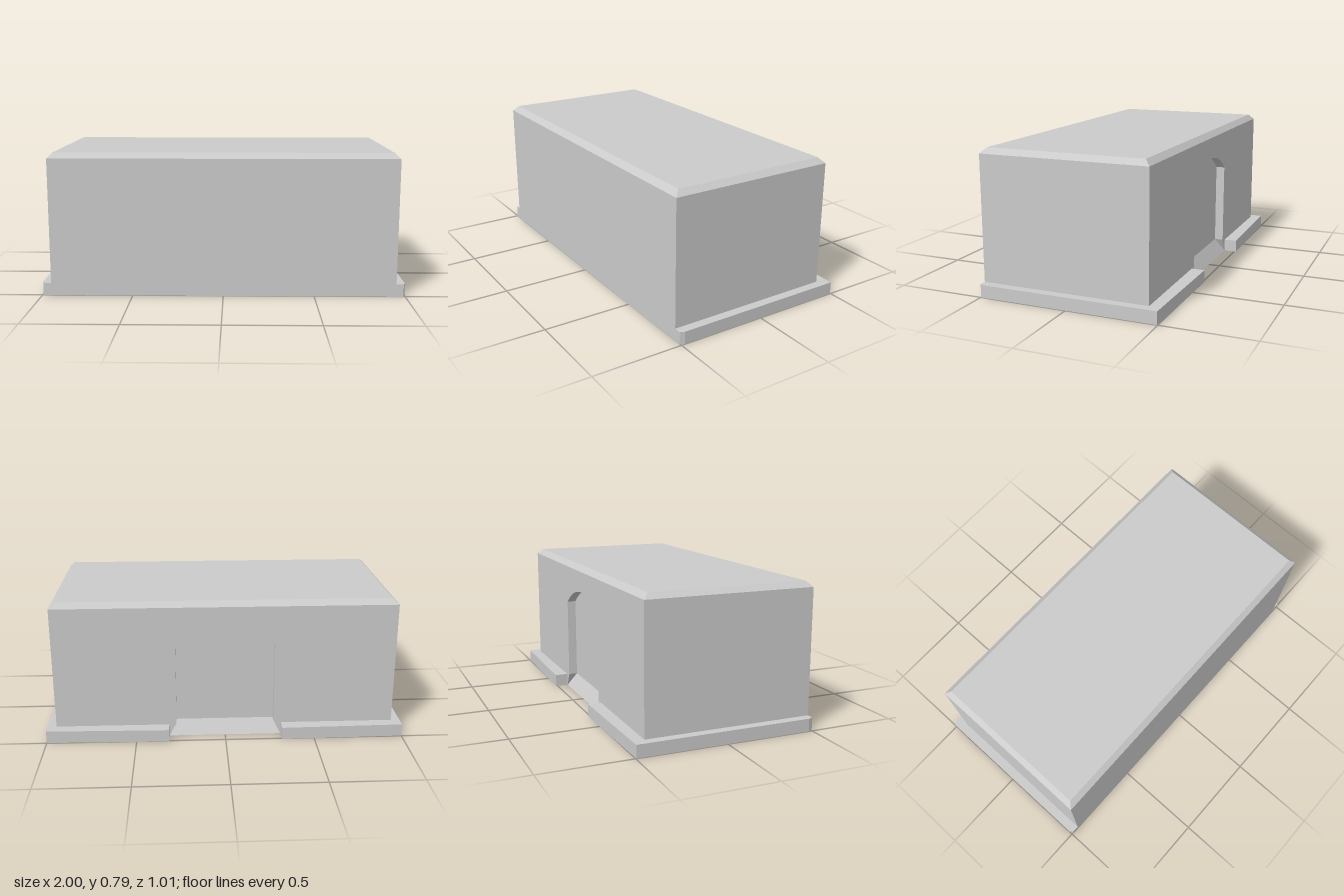
import * as THREE from 'three';

const W = 0.95, FRONT = 0.505, BACK = -0.435, NICHE = -0.385; // body half width and z planes
const EAVE = 0.76, TOP = 0.79, BEVEL = 0.03;

export function createModel() {
  const group = new THREE.Group();
  const material = new THREE.MeshStandardMaterial({ color: 0xcccccc, flatShading: true });
  const add = (name, geometry) => {
    const mesh = new THREE.Mesh(geometry, material);
    mesh.name = name;
    group.add(mesh);
  };
  const extrude = (shape, depth) =>
    new THREE.ExtrudeGeometry(shape, { depth, bevelEnabled: false, curveSegments: 6 });

  // Main block in front of the niche
  const core = new THREE.BoxGeometry(2 * W, EAVE, FRONT - NICHE);
  core.translate(0, EAVE / 2, (FRONT + NICHE) / 2);
  add('body', core);

  // Back wall with a shallow arched doorway, splayed at its foot
  const half = 0.275, spring = 0.54, rise = 0.1;
  const radius = (half * half + rise * rise) / (2 * rise);
  const centreY = spring + rise - radius;
  const angle = Math.asin(half / radius);
  const wall = new THREE.Shape();
  wall.moveTo(-W, 0);
  wall.lineTo(-0.315, 0);
  wall.lineTo(-half, 0.08);
  wall.lineTo(-half, spring);
  wall.absarc(0, centreY, radius, Math.PI / 2 + angle, Math.PI / 2 - angle, true);
  wall.lineTo(half, 0.08);
  wall.lineTo(0.315, 0);
  wall.lineTo(W, 0);
  wall.lineTo(W, EAVE);
  wall.lineTo(-W, EAVE);
  add('archedBackWall', extrude(wall, NICHE - BACK).translate(0, 0, BACK));

  // Roof slab with chamfered edges
  const roof = new THREE.BoxGeometry(2 * W, TOP - EAVE, FRONT - BACK);
  const p = roof.attributes.position;
  for (let i = 0; i < p.count; i++) {
    if (p.getY(i) < 0) continue;
    p.setX(i, p.getX(i) - Math.sign(p.getX(i)) * BEVEL);
    p.setZ(i, p.getZ(i) - Math.sign(p.getZ(i)) * BEVEL);
  }
  roof.computeVertexNormals();
  roof.translate(0, (EAVE + TOP) / 2, (FRONT + BACK) / 2);
  add('roof', roof);

  // Plinth outline as (x, -z), with a gap at the doorway
  const plan = [[-0.99, -FRONT], [0.99, -FRONT], [1, -0.48], [1, 0.497], [0.317, 0.51],
    [0.317, -NICHE], [-0.317, -NICHE], [-0.317, 0.51], [-1, 0.497], [-1, -0.48]];
  const plinth = new THREE.Shape(plan.map(([x, y]) => new THREE.Vector2(x, y)));
  add('plinth', extrude(plinth, 0.07).rotateX(-Math.PI / 2));

  // Sloping threshold, profile as (-z, y) swept across the doorway
  const slope = new THREE.Shape();
  slope.moveTo(-NICHE, 0);
  slope.lineTo(-BACK, 0);
  slope.lineTo(-NICHE, 0.08);
  add('threshold', extrude(slope, 0.63).rotateY(Math.PI / 2).translate(-0.315, 0, 0));

  return group;
}
